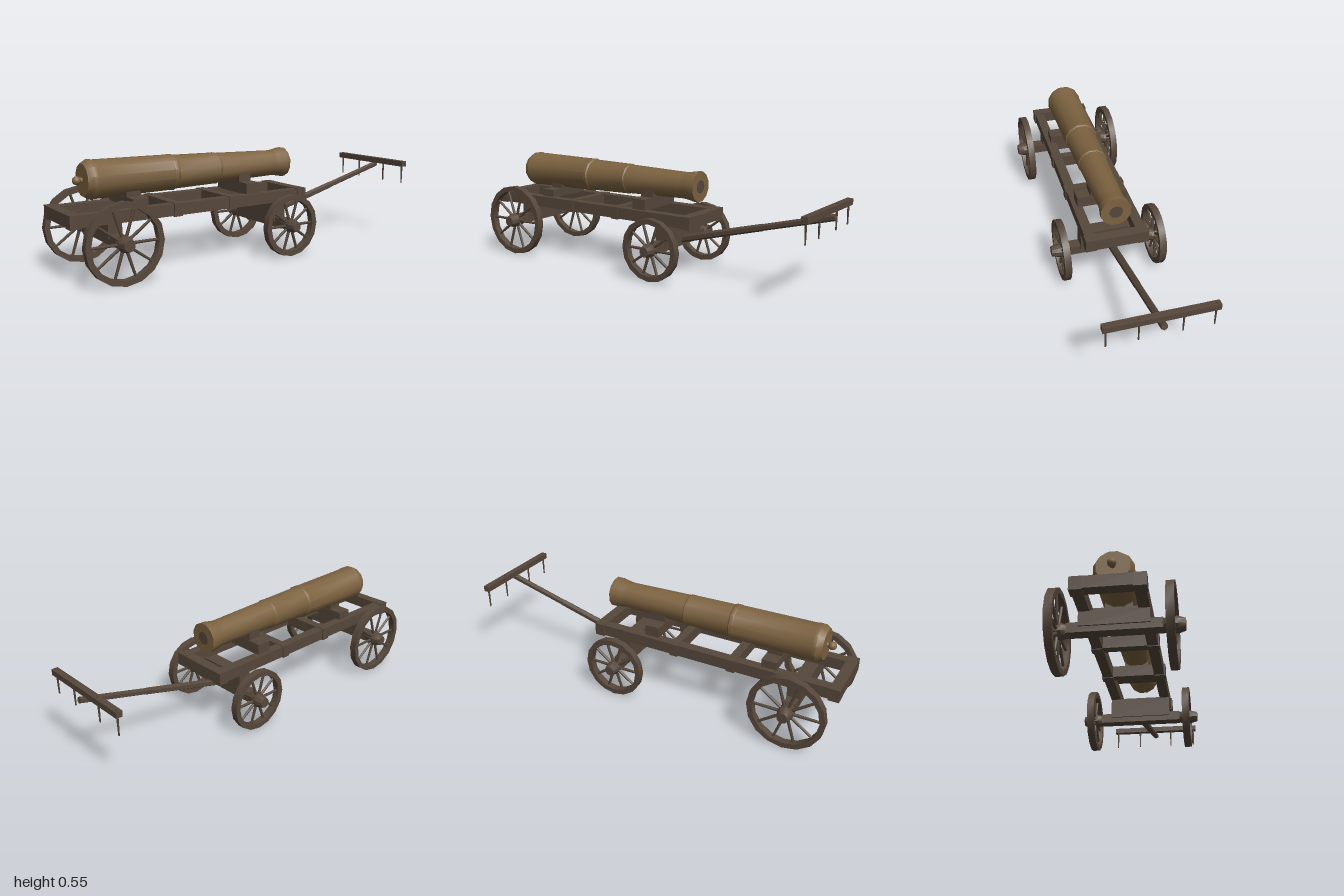
import * as THREE from 'three';
import { toCreasedNormals } from 'three/addons/utils/BufferGeometryUtils.js';

export function createModel() {
  const wood = new THREE.MeshStandardMaterial({ color: 0x56473b });
  wood.name = 'dark wood';
  const bronze = new THREE.MeshStandardMaterial({ color: 0x7d6341 });
  bronze.name = 'bronze';
  const model = new THREE.Group();
  model.name = 'cannonWagon';

  const add = (parent, name, geo, mat = wood) => {
    const m = new THREE.Mesh(geo, mat);
    m.name = name;
    parent.add(m);
    return m;
  };
  // box given by its minimum and maximum on each axis
  const box = (parent, name, x0, x1, y0, y1, z0, z1) =>
    add(parent, name, new THREE.BoxGeometry(x1 - x0, y1 - y0, z1 - z0))
      .position.set((x0 + x1) / 2, (y0 + y1) / 2, (z0 + z1) / 2);
  // lathe with sharp rims and smooth sides; points are [radius, height]
  const turned = (pts, sides, phase = 0) => toCreasedNormals(
    new THREE.LatheGeometry(pts.map(p => new THREE.Vector2(...p)), sides, phase), 0.6);

  // frame: side rails, cross beams and the end blocks that wrap the rails
  const frame = new THREE.Group();
  frame.name = 'frame';
  model.add(frame);
  for (const s of [-1, 1]) {
    box(frame, 'sideRail', -0.997, 0.317, 0.267, 0.325, s * 0.131 - 0.025, s * 0.131 + 0.025);
  }
  for (const x of [-0.973, -0.457, -0.145, 0.293]) {
    const h = Math.abs(x + 0.3) > 0.3 ? 0.027 : 0.022;
    box(frame, 'crossBeam', x - h, x + h, 0.268, 0.327, -0.11, 0.11);
    for (const s of [-1, 1]) {
      box(frame, 'railBlock', x - h, x + h, 0.263, 0.328, s * 0.134 - 0.028, s * 0.134 + 0.028);
    }
  }

  // stepped cradles under the barrel
  for (const [x, mid, top] of [[-0.643, 0.365, 0.405], [-0.007, 0.38, 0.425]]) {
    box(model, 'cradleBase', x - 0.039, x + 0.039, 0.322, mid, -0.133, 0.133);
    box(model, 'cradleTop', x - 0.037, x + 0.037, mid, top, -0.063, 0.063);
  }

  // barrel
  const barrel = new THREE.Group();
  barrel.name = 'barrel';
  barrel.position.y = 0.454;
  model.add(barrel);
  add(barrel, 'gunTube', turned([
    [0, -0.872], [0.078, -0.872], [0.084, -0.862], [0.095, -0.843], [0.095, -0.825],
    [0.0925, -0.815], [0.088, -0.425], [0.09, -0.42], [0.09, -0.405], [0.0845, -0.398],
    [0.08, -0.17], [0.081, -0.165], [0.081, -0.155], [0.077, -0.15], [0.068, 0.19],
    [0.07, 0.215], [0.079, 0.262], [0.079, 0.282], [0, 0.282]], 12, Math.PI / 12).rotateZ(-Math.PI / 2), bronze);
  add(barrel, 'bore', new THREE.CylinderGeometry(0.034, 0.034, 0.004, 12).rotateZ(-Math.PI / 2))
    .position.x = 0.282;
  add(barrel, 'breechNeck', new THREE.CylinderGeometry(0.01, 0.014, 0.03, 8).rotateZ(Math.PI / 2), bronze)
    .position.x = -0.882;
  add(barrel, 'breechKnob', new THREE.SphereGeometry(0.021, 10, 8), bronze).position.x = -0.898;

  // spoked wheel centred on its hub, axle along z, outside facing +z
  function makeWheel(R, hubR) {
    const wheel = new THREE.Group();
    wheel.name = 'wheel';
    const r = R - 0.027, w = 0.018;
    add(wheel, 'rim', turned([[R, -w], [R, w], [r, w], [r, -w], [R, -w]], 16).rotateX(Math.PI / 2));
    add(wheel, 'hub', turned([[0, -0.055], [hubR * 0.65, -0.055], [hubR, -0.02], [hubR, 0.022],
      [hubR * 0.72, 0.055], [0, 0.055]], 10).rotateX(Math.PI / 2));
    for (let i = 0; i < 10; i++) {
      const spoke = add(wheel, 'spoke', new THREE.CylinderGeometry(0.0065, 0.008, r - 0.01, 6)
        .translate(0, (r + 0.02) / 2, 0));
      spoke.rotation.z = (i + 0.5) * Math.PI / 5;
    }
    return wheel;
  }

  // axles, bolsters and wheels
  for (const [x, R, hubR] of [[-0.785, 0.193, 0.038], [0.15, 0.16, 0.035]]) {
    const name = x < 0 ? 'rear' : 'front';
    box(model, name + 'Axle', x - 0.028, x + 0.028, R - 0.022, R + 0.027, -0.21, 0.21);
    box(model, name + 'Bolster', x - 0.035, x + 0.035, R + 0.005, 0.27, -0.156, 0.156);
    for (const s of [-1, 1]) {
      const wheel = makeWheel(R, hubR);
      wheel.name = name + 'Wheel';
      wheel.position.set(x, R, s * 0.25);
      if (s < 0) wheel.rotation.y = Math.PI;
      model.add(wheel);
    }
  }

  // draw pole rising from the front axle, in a thick and a thin length
  const start = new THREE.Vector3(0.15, 0.165, 0), end = new THREE.Vector3(0.995, 0.388, 0);
  const pole = new THREE.Group();
  pole.name = 'drawPole';
  pole.position.copy(start);
  pole.rotation.z = Math.atan2(end.y - start.y, end.x - start.x);
  model.add(pole);
  const len = start.distanceTo(end);
  for (const [a, b, r0, r1] of [[0, 0.505, 0.02, 0.018], [0.505, len, 0.0165, 0.0165]]) {
    const geo = new THREE.CylinderGeometry(r1, r0, b - a, 6).rotateY(Math.PI / 2).rotateZ(-Math.PI / 2);
    add(pole, 'poleSection', toCreasedNormals(geo, 0.6)).position.x = (a + b) / 2;
  }

  // crossbar with hanging pins
  box(model, 'crossbar', 0.945, 0.977, 0.402, 0.432, -0.262, 0.262);
  for (const z of [-0.245, -0.1, 0.1, 0.245]) {
    add(model, 'hangingPin', new THREE.CylinderGeometry(0.006, 0.0035, 0.13, 6)).position.set(0.961, 0.37, z);
  }
  return model;
}
